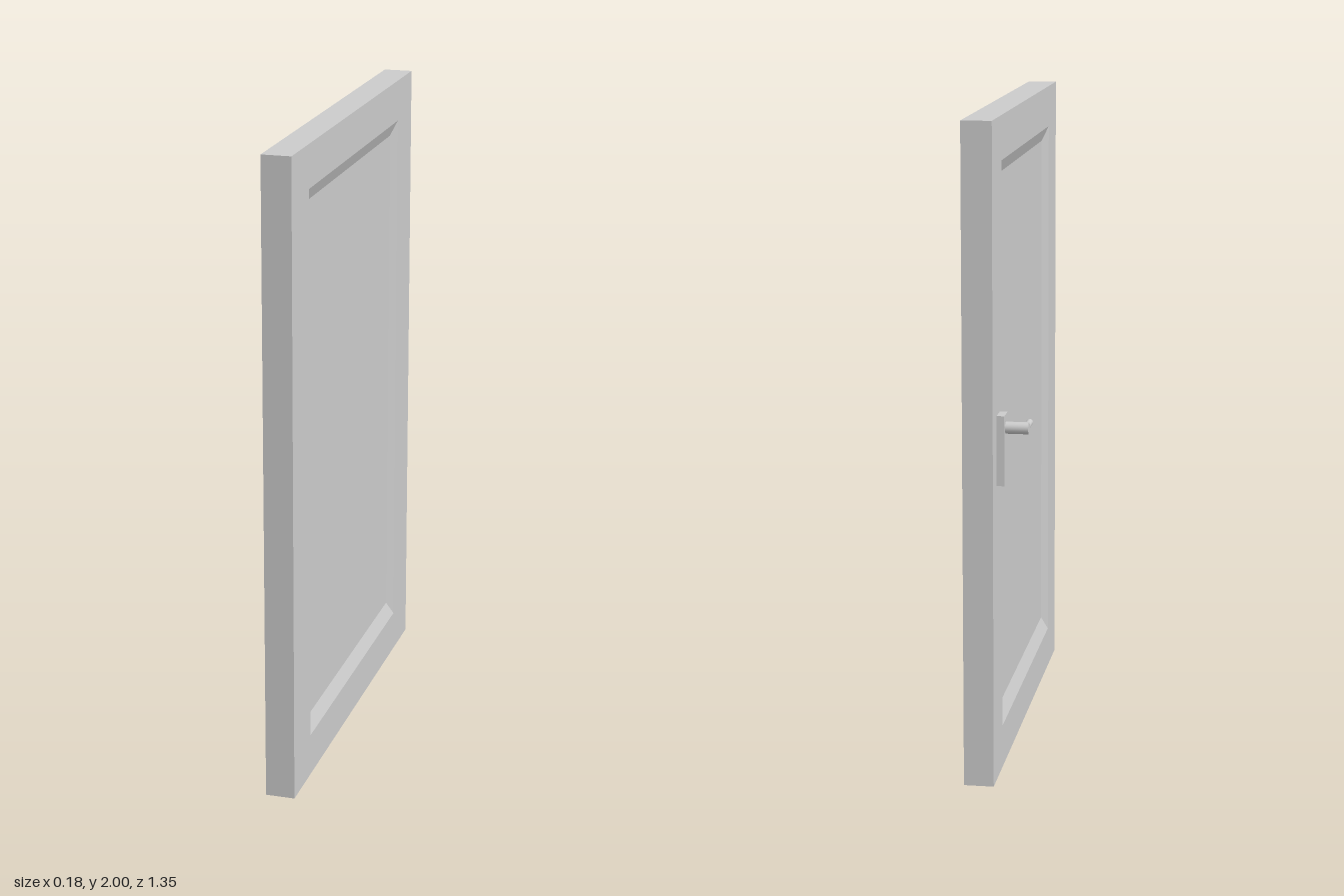
import * as THREE from 'three';

const material = new THREE.MeshStandardMaterial({ color: 0xcccccc, flatShading: true });
const smooth = new THREE.MeshStandardMaterial({ color: 0xcccccc });

// Door leaf lofted through rectangular rings, from one sunken panel round to the other
function doorGeometry() {
  const T = 0.091, depth = 0.02;
  const panel = [0.477, 0.18, 1.822], bevel = [0.503, 0.133, 1.868], edge = [0.675, 0, 2];
  const ring = (x, [h, lo, hi]) => [[x, lo, -h], [x, lo, h], [x, hi, h], [x, hi, -h]];
  const rings = [
    ring(depth, panel), ring(0, bevel), ring(0, edge),
    ring(T, edge), ring(T, bevel), ring(T - depth, panel),
  ];
  const pos = [];
  const quad = (a, b, c, d) => pos.push(...a, ...b, ...c, ...a, ...c, ...d);
  quad(...rings[0]);
  for (let k = 0; k < rings.length - 1; k++) {
    const A = rings[k], B = rings[k + 1];
    for (let i = 0; i < 4; i++) {
      const j = (i + 1) % 4;
      quad(A[i], B[i], B[j], A[j]);
    }
  }
  quad(...[...rings[5]].reverse());
  const geo = new THREE.BufferGeometry();
  geo.setAttribute('position', new THREE.Float32BufferAttribute(pos, 3));
  geo.computeVertexNormals();
  return geo;
}

function addMesh(parent, name, geo, mat, x = 0, y = 0, z = 0) {
  const mesh = new THREE.Mesh(geo, mat);
  mesh.name = name;
  mesh.position.set(x, y, z);
  parent.add(mesh);
  return mesh;
}

export function createModel() {
  const group = new THREE.Group();
  group.name = 'door';
  addMesh(group, 'doorLeaf', doorGeometry(), material);

  // Handle: back plate, spindle out of the door, lever turned along it
  const handle = new THREE.Group();
  handle.name = 'handle';
  addMesh(handle, 'backPlate', new THREE.BoxGeometry(0.023, 0.212, 0.064), material, -0.0115, 1.021, -0.572);
  const spindle = addMesh(handle, 'spindle', new THREE.CylinderGeometry(0.018, 0.018, 0.08, 24), smooth, -0.052, 1.086, -0.572);
  spindle.rotation.z = Math.PI / 2;
  const lever = addMesh(handle, 'lever', new THREE.CylinderGeometry(0.01, 0.01, 0.083, 20), smooth, -0.082, 1.086, -0.5305);
  lever.rotation.x = Math.PI / 2;
  group.add(handle);
  return group;
}
